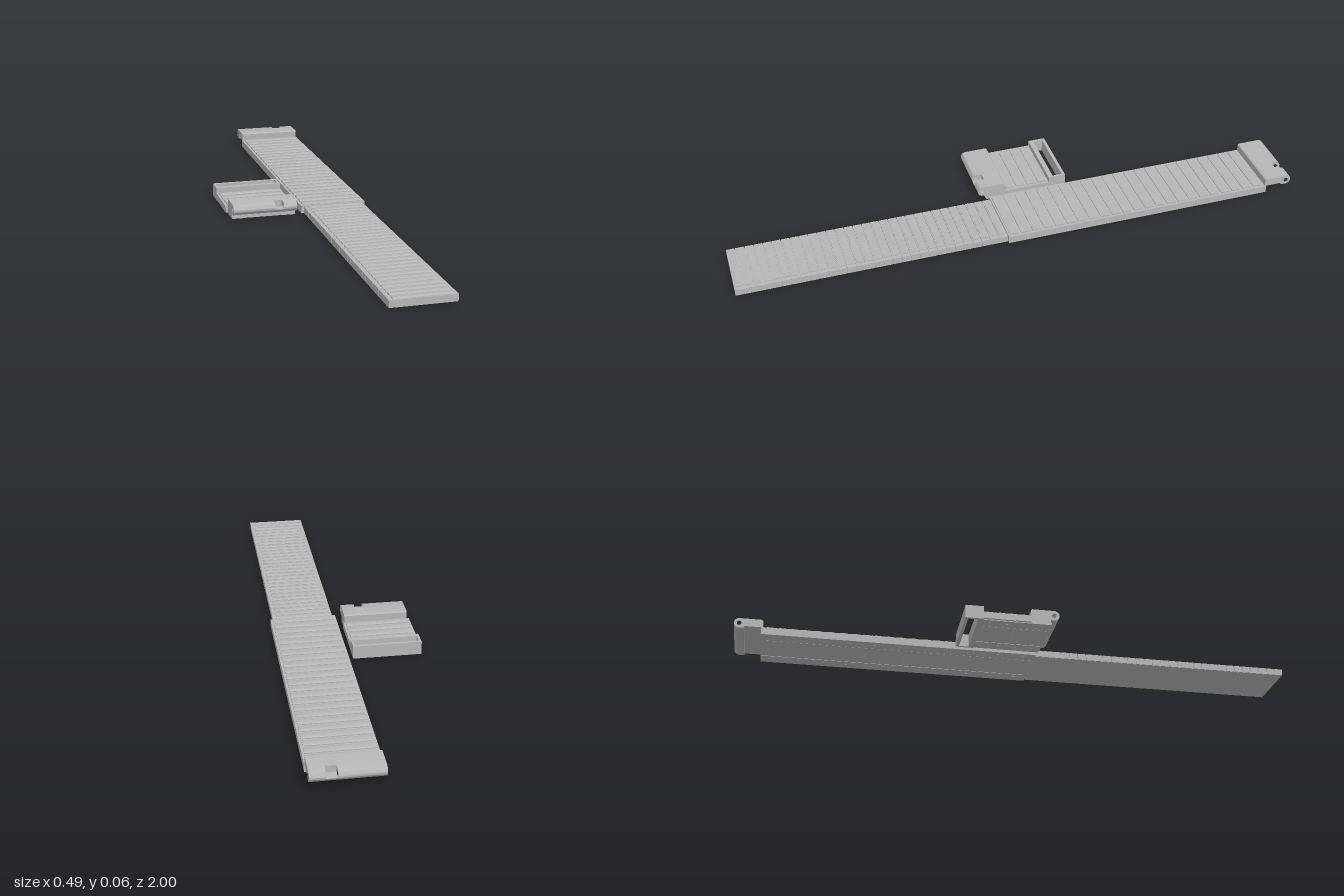
import * as THREE from 'three';
import { toCreasedNormals } from 'three/addons/utils/BufferGeometryUtils.js';

const steel = new THREE.MeshStandardMaterial({ color: 0xb6b6b6 });
steel.name = 'steel grey';

function add(parent, name, geometry) {
  const mesh = new THREE.Mesh(geometry, steel);
  mesh.name = name;
  parent.add(mesh);
  return mesh;
}

// Box given by its limits on each axis
function box(parent, name, x0, x1, y0, y1, z0, z1) {
  const g = new THREE.BoxGeometry(x1 - x0, y1 - y0, z1 - z0);
  g.translate((x0 + x1) / 2, (y0 + y1) / 2, (z0 + z1) / 2);
  return add(parent, name, g);
}

// Side profile of [z, y] points extruded along x
function extrudeX(parent, name, points, x0, x1, hole) {
  const shape = new THREE.Shape(points.map(([z, y]) => new THREE.Vector2(-z, y)));
  if (hole) {
    const path = new THREE.Path();
    path.absarc(-hole.z, hole.y, hole.r, 0, Math.PI * 2, true);
    shape.holes.push(path);
  }
  let g = new THREE.ExtrudeGeometry(shape, { depth: x1 - x0, bevelEnabled: false, curveSegments: 10 });
  g.rotateY(Math.PI / 2);
  g.translate(x0, 0, 0);
  g = toCreasedNormals(g, 0.6);
  return add(parent, name, g);
}

// Evenly spaced chamfered ribs running across the band
function ribs(parent, name, count, x0, x1, base, top, z0, z1) {
  const pitch = (z1 - z0) / count;
  for (let i = 0; i < count; i++) {
    const c = z0 + (i + 0.5) * pitch, h = pitch * 0.38;
    extrudeX(parent, name, [
      [c - h, base], [c - h, top - 0.002], [c - h * 0.6, top],
      [c + h * 0.6, top], [c + h, top - 0.002], [c + h, base],
    ], x0, x1);
  }
}

// Raised block ending in a bored barrel, with a notch for the spring bar
function hinge(name, x0, x1, z0, dir, n0, n1) {
  const group = new THREE.Group();
  group.name = name;
  const cz = 0.0815, cy = 0.0368, r = 0.0182;
  const at = ([a, y]) => [z0 + dir * a, y];
  const arc = (from, to, n) => Array.from({ length: n + 1 }, (_, i) => {
    const t = from + (to - from) * i / n;
    return [cz + r * Math.cos(t), cy + r * Math.sin(t)];
  });
  const foot = [[0.064, 0.0195], [0.062, 0.026], [0, 0.026]];
  const full = [[0, 0.051], [0.004, 0.055], ...arc(Math.PI / 2, -Math.PI / 2, 16), ...foot].map(at);
  const cut = [[0, 0.051], [0.004, 0.055], [0.064, 0.055], [0.064, 0.032],
    ...arc(-0.27, -Math.PI / 2, 8), ...foot].map(at);
  const hole = { z: z0 + dir * cz, y: cy, r: 0.008 };
  extrudeX(group, 'hingeBarrel', full, x0, n0, hole);
  extrudeX(group, 'hingeNotch', cut, n0, n1);
  extrudeX(group, 'hingeBarrel', full, n1, x1, hole);
  return group;
}

// Underside: rails, cover panels and two rows of pins
function underside(parent, x0, x1, z0, z1, split, pins) {
  const rail = (x1 - x0) * 0.22;
  box(parent, 'undersideRail', x0, x0 + rail, 0, 0.004, z0, z1);
  box(parent, 'undersideRail', x1 - rail, x1, 0, 0.004, z0, z1);
  box(parent, 'undersidePanel', x0 + rail + 0.002, x1 - rail - 0.002, 0.0005, 0.004, z0 + 0.012, split - 0.002);
  box(parent, 'undersidePanel', x0 + rail + 0.002, x1 - rail - 0.002, 0.0005, 0.004, split + 0.002, z1);
  for (const x of [x0 + rail / 2, x1 - rail / 2]) {
    for (let i = 0; i < pins; i++) {
      const g = new THREE.CylinderGeometry(0.006, 0.006, 0.002, 12);
      g.translate(x, 0.0003, z0 + (z1 - z0) * (i + 0.5) / pins);
      add(parent, 'undersidePin', g);
    }
  }
}

export function createModel() {
  const model = new THREE.Group();
  model.name = 'watchBand';

  // Long band: wide outer sleeve
  const sleeve = new THREE.Group();
  sleeve.name = 'wideSleeve';
  model.add(sleeve);
  box(sleeve, 'sleeveBody', 0.01, 0.245, 0.003, 0.0265, -0.905, 0.065);
  underside(sleeve, 0.01, 0.245, -0.905, 0.065, -0.4, 11);
  ribs(sleeve, 'sleeveRib', 23, 0.018, 0.237, 0.024, 0.0315, -0.895, 0.065);

  // Long band: narrow sliding tongue made of links
  const tongue = new THREE.Group();
  tongue.name = 'narrowTongue';
  model.add(tongue);
  box(tongue, 'tongueBase', 0.023, 0.233, 0, 0.02, 0.06, 1);
  const links = 30, pitch = 0.935 / links;
  for (let i = 0; i < links; i++) {
    const z = 0.065 + i * pitch;
    box(tongue, 'tongueLink', 0.02, 0.235, 0.0003, 0.0235, z + 0.002, z + pitch);
  }
  ribs(tongue, 'tongueRib', links, 0.034, 0.221, 0.022, 0.027, 0.065, 1);

  model.add(hinge('bandHinge', 0.0115, 0.243, -0.9, -1, 0.157, 0.193));

  // Short link piece
  const piece = new THREE.Group();
  piece.name = 'shortPiece';
  model.add(piece);
  box(piece, 'pieceBody', -0.249, -0.01, 0.003, 0.0265, -0.17, 0);
  box(piece, 'pieceFront', -0.241, -0.014, 0.003, 0.028, 0, 0.07);
  box(piece, 'pieceSpring', -0.238, -0.018, 0.004, 0.01, 0.06, 0.073);
  underside(piece, -0.241, -0.014, -0.168, 0.068, -0.05, 4);
  ribs(piece, 'pieceRib', 4, -0.241, -0.018, 0.024, 0.0315, -0.163, 0);

  // Slotted end frame
  const frame = new THREE.Shape([[-0.249, 0.165], [-0.01, 0.165], [-0.01, 0.227], [-0.249, 0.227]]
    .map(p => new THREE.Vector2(...p)));
  frame.holes.push(new THREE.Path([[-0.24, 0.182], [-0.24, 0.216], [-0.018, 0.216], [-0.018, 0.182]]
    .map(p => new THREE.Vector2(...p))));
  const fg = new THREE.ExtrudeGeometry(frame, { depth: 0.047, bevelEnabled: false });
  fg.rotateX(-Math.PI / 2);
  add(piece, 'slotFrame', fg);

  piece.add(hinge('pieceHinge', -0.241, -0.014, 0, 1, -0.092, -0.061));
  return model;
}
